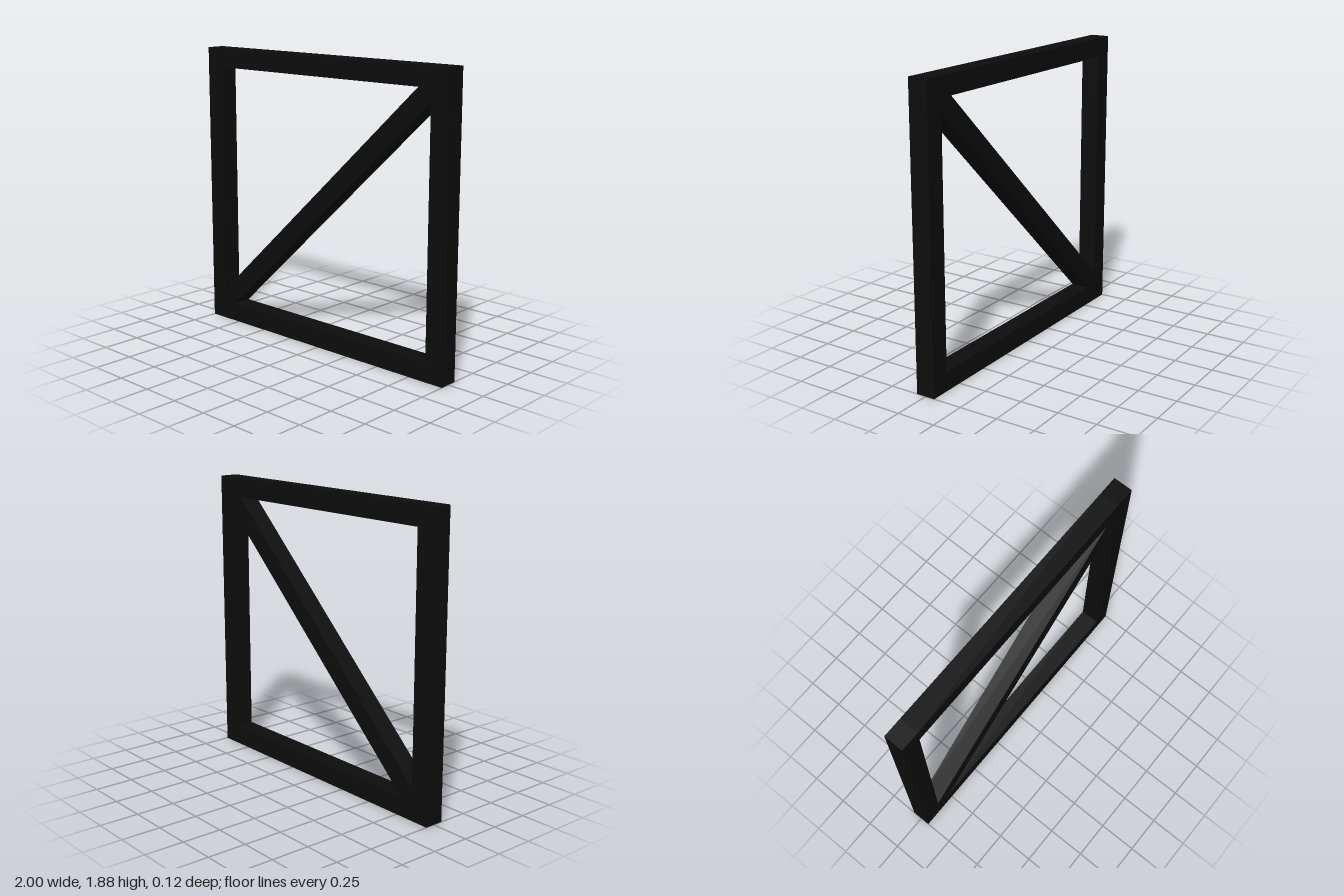
import * as THREE from 'three';

const W = 2, H = 1.875, T = 0.125; // frame width, height, bar thickness

export function createModel() {
  const group = new THREE.Group();
  const material = new THREE.MeshStandardMaterial({ color: 0x0d0d0d });

  const add = (name, geometry, x, y) => {
    const mesh = new THREE.Mesh(geometry, material);
    mesh.name = name;
    mesh.position.set(x, y, 0);
    group.add(mesh);
  };

  // Full-height posts
  const post = new THREE.BoxGeometry(T, H, T);
  add('leftPost', post, (W - T) / 2, H / 2);
  add('rightPost', post, -(W - T) / 2, H / 2);

  // Rails fitted between the posts
  const rail = new THREE.BoxGeometry(W - 2 * T, T, T);
  add('topRail', rail, 0, H - T / 2);
  add('bottomRail', rail, 0, T / 2);

  // Diagonal brace, mitred into two opposite inner corners
  const a = W / 2 - T, b = H / 2 - T;
  const angle = Math.atan2(b, a);
  const dx = T / 2 / Math.sin(angle), dy = T / 2 / Math.cos(angle);
  const outline = new THREE.Shape([
    [-a, -b], [-a + dx, -b], [a, b - dy],
    [a, b], [a - dx, b], [-a, -b + dy],
  ].map(([x, y]) => new THREE.Vector2(x, y)));
  const brace = new THREE.ExtrudeGeometry(outline, { depth: T, bevelEnabled: false });
  brace.translate(0, 0, -T / 2);
  add('diagonalBrace', brace, 0, H / 2);

  return group;
}
